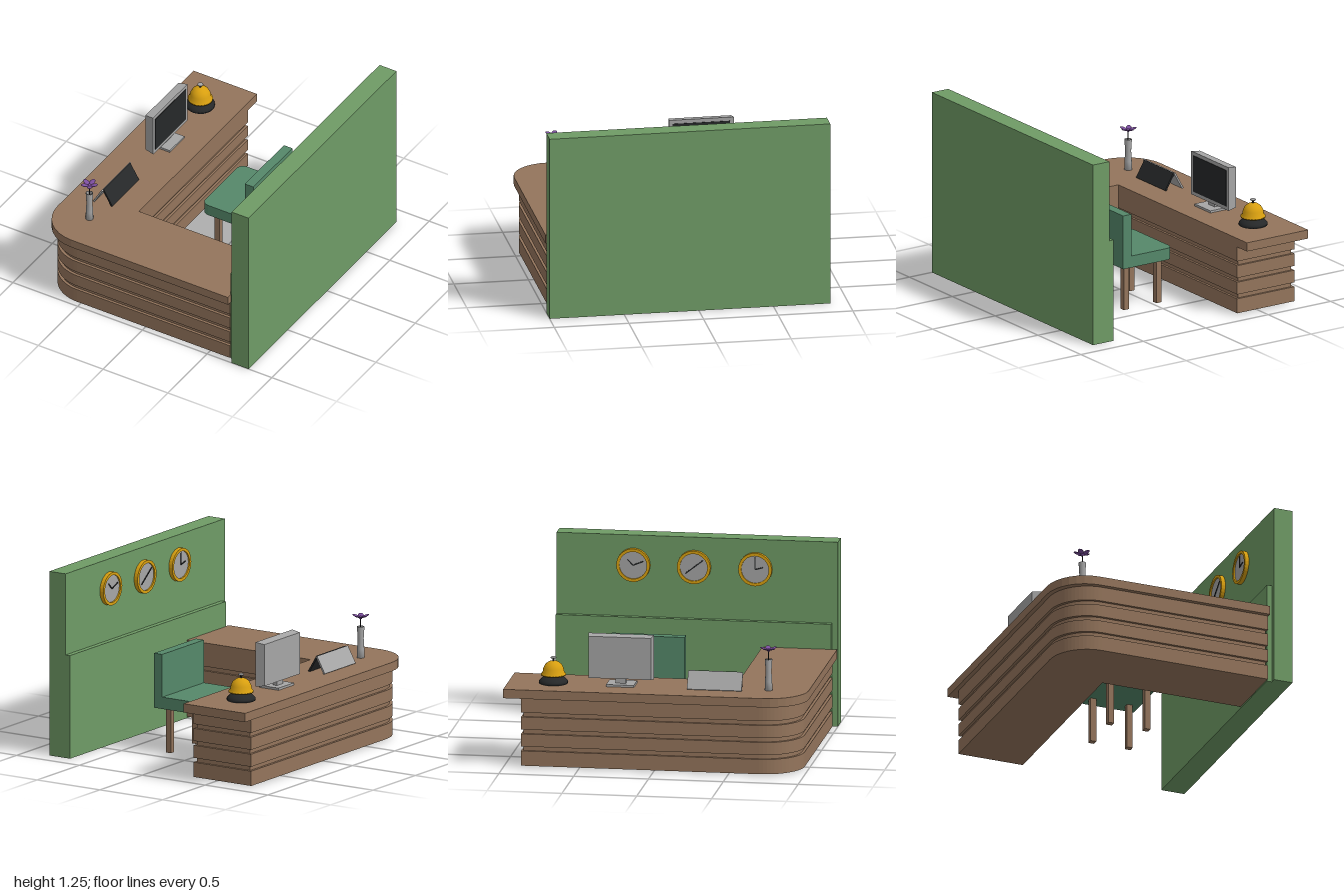
import * as THREE from 'three';

const material = (name, color, side = THREE.FrontSide) => {
  const m = new THREE.MeshStandardMaterial({ color, side });
  m.name = name;
  return m;
};

export function createModel() {
  const wood = material('wood', 0x94755c);
  const wallGreen = material('wall green', 0x6f9b66);
  const chairGreen = material('chair green', 0x55886a);
  const gold = material('gold', 0xd9a010, THREE.DoubleSide);
  const silver = material('silver', 0xa6a6a6);
  const black = material('black', 0x262829);
  const purple = material('purple', 0x7d4fa0);

  const model = new THREE.Group();
  model.name = 'receptionDesk';

  const add = (name, geometry, mat, parent = model) => {
    const mesh = new THREE.Mesh(geometry, mat);
    mesh.name = name;
    parent.add(mesh);
    return mesh;
  };
  const group = (name, x = 0, y = 0, z = 0) => {
    const g = new THREE.Group();
    g.name = name;
    g.position.set(x, y, z);
    model.add(g);
    return g;
  };
  // Box given by its limits on each axis
  const box = (name, [x0, x1], [y0, y1], [z0, z1], mat, parent) => {
    const mesh = add(name, new THREE.BoxGeometry(x1 - x0, y1 - y0, z1 - z0), mat, parent);
    mesh.position.set((x0 + x1) / 2, (y0 + y1) / 2, (z0 + z1) / 2);
    return mesh;
  };
  // Floor-plan shape (y of the shape is -z) raised from y0 to y1
  const slab = (name, shape, y0, y1, mat, parent, curveSegments = 4) => {
    const geo = new THREE.ExtrudeGeometry(shape, { depth: y1 - y0, bevelEnabled: false, curveSegments });
    geo.rotateX(-Math.PI / 2).translate(0, y0, 0);
    return add(name, geo, mat, parent);
  };
  const lathe = (name, points, mat, parent, sides = 24) =>
    add(name, new THREE.LatheGeometry(points.map(p => new THREE.Vector2(...p)), sides), mat, parent);

  // L-shaped counter plan with one rounded outer corner
  const counterPlan = (left, right, back, front, innerX, innerZ, r) => {
    const s = new THREE.Shape();
    s.moveTo(left, -back);
    s.lineTo(left, r - front);
    s.absarc(left + r, r - front, r, Math.PI, Math.PI * 1.5, false);
    s.lineTo(right, -front);
    s.lineTo(right, -innerZ);
    s.lineTo(innerX, -innerZ);
    s.lineTo(innerX, -back);
    s.closePath();
    return s;
  };

  // Counter: worktop, recessed core and four slats
  const counter = group('counter');
  slab('worktop', counterPlan(-0.82, 0.66, -1, 1, -0.33, 0.5, 0.27), 0.47, 0.53, wood, counter);
  slab('core', counterPlan(-0.772, 0.648, -0.87, 0.952, -0.347, 0.517, 0.25), 0.02, 0.47, wood, counter, 8);
  const slatPlan = counterPlan(-0.79, 0.657, -0.885, 0.97, -0.331, 0.501, 0.265);
  for (const [y0, y1] of [[0.01, 0.11], [0.14, 0.225], [0.255, 0.34], [0.37, 0.47]]) {
    slab('slat', slatPlan, y0, y1, wood, counter, 8);
  }

  // Side wall with thicker lower panel
  box('wall', [0.69, 0.82], [0, 1.25], [-0.88, 1], wallGreen);
  box('wallLowerPanel', [0.655, 0.69], [0, 0.7], [-0.88, 0.96], wallGreen);

  // Three wall clocks, each with two hands [clockwise degrees, length]
  const rim = new THREE.Shape().absarc(0, 0, 0.112, 0, Math.PI * 2, false);
  rim.holes.push(new THREE.Path().absarc(0, 0, 0.092, 0, Math.PI * 2, true));
  const clocks = [
    [-0.365, [-45, 0.055], [68, 0.075]],
    [0.04, [52, 0.08], [232, 0.07]],
    [0.45, [0, 0.08], [75, 0.055]],
  ];
  for (const [z, ...hands] of clocks) {
    const clock = group('clock', 0.69, 1.05, z);
    clock.rotation.y = -Math.PI / 2;
    add('clockRim', new THREE.ExtrudeGeometry(rim, { depth: 0.028, bevelEnabled: false, curveSegments: 16 }), gold, clock);
    add('clockFace', new THREE.CircleGeometry(0.094, 32), silver, clock).position.z = 0.018;
    for (const [angle, length] of hands) {
      const geo = new THREE.BoxGeometry(0.008, length, 0.004).translate(0, length / 2, 0);
      const hand = add('clockHand', geo, black, clock);
      hand.position.z = 0.022;
      hand.rotation.z = -angle * Math.PI / 180;
    }
  }

  // Chair: rounded seat, backrest and four legs
  const chair = group('chair');
  const seat = new THREE.Shape();
  seat.moveTo(0.28, -0.05);
  seat.lineTo(0.28, 0.445);
  seat.lineTo(-0.07, 0.445);
  seat.absarc(-0.07, 0.395, 0.05, Math.PI / 2, Math.PI, false);
  seat.lineTo(-0.12, 0);
  seat.absarc(-0.07, 0, 0.05, Math.PI, Math.PI * 1.5, false);
  seat.closePath();
  slab('seat', seat, 0.31, 0.39, chairGreen, chair);
  box('backrest', [0.215, 0.28], [0.39, 0.68], [-0.445, 0.05], chairGreen, chair);
  for (const x of [-0.05, 0.21]) {
    for (const z of [-0.36, -0.05]) {
      box('chairLeg', [x - 0.02, x + 0.02], [0, 0.31], [z - 0.02, z + 0.02], wood, chair);
    }
  }

  // Monitor on a stand, its back edge chamfered, screen facing the chair
  const monitor = group('monitor');
  box('standBase', [-0.64, -0.49], [0.53, 0.545], [-0.34, -0.155], silver, monitor);
  box('standNeck', [-0.59, -0.56], [0.545, 0.6], [-0.285, -0.215], silver, monitor);
  const housing = new THREE.BoxGeometry(0.065, 0.3, 0.435);
  const p = housing.attributes.position;
  for (let i = 0; i < p.count; i++) {
    if (p.getX(i) < 0) p.setXYZ(i, p.getX(i), p.getY(i) * 0.94, p.getZ(i) * 0.96);
  }
  housing.computeVertexNormals();
  add('housing', housing, silver, monitor).position.set(-0.578, 0.72, -0.253);
  box('screen', [-0.547, -0.542], [0.595, 0.845], [-0.445, -0.06], black, monitor);

  // Desk bell
  const bell = group('bell', -0.585, 0.53, -0.7);
  lathe('bellBase', [[0, 0], [0.095, 0], [0.095, 0.016], [0.085, 0.026], [0.06, 0.055], [0, 0.055]], black, bell);
  lathe('bellDome', [[0, 0.055], [0.083, 0.055], [0.083, 0.064], [0.073, 0.072], [0.068, 0.1],
    [0.054, 0.128], [0.03, 0.146], [0, 0.152]], gold, bell);
  add('bellStem', new THREE.CylinderGeometry(0.006, 0.006, 0.025, 8), black, bell).position.y = 0.16;
  const knob = add('bellButton', new THREE.SphereGeometry(0.02, 16, 8), silver, bell);
  knob.scale.y = 0.4;
  knob.position.y = 0.173;

  // Folded desk sign: two thin leaning plates
  const sign = group('deskSign');
  const leaningPlate = (name, foot, width, z, mat) => {
    const apex = -0.577, height = 0.112, thickness = 0.012;
    const lean = Math.atan2(foot - apex, height);
    const plate = add(name, new THREE.BoxGeometry(thickness, Math.hypot(foot - apex, height), width), mat, sign);
    plate.position.set((foot + apex) / 2, 0.53 + height / 2 + 0.002, z);
    plate.rotation.z = lean;
  };
  leaningPlate('signPlate', -0.64, 0.365, 0.383, silver);
  leaningPlate('signSupport', -0.51, 0.34, 0.38, black);

  // Vase with a five-petalled flower
  const vase = group('vase', -0.57, 0.53, 0.735);
  lathe('vaseBody', [[0, 0], [0.026, 0], [0.024, 0.06], [0.02, 0.13], [0.025, 0.21], [0.019, 0.21],
    [0.015, 0.13], [0, 0.12]], silver, vase, 12);
  add('stem', new THREE.CylinderGeometry(0.003, 0.003, 0.16, 6), black, vase).position.y = 0.195;
  add('flowerCentre', new THREE.SphereGeometry(0.012, 10, 8), purple, vase).position.y = 0.272;
  for (let i = 0; i < 5; i++) {
    const petal = new THREE.SphereGeometry(1, 10, 8).scale(0.026, 0.005, 0.019);
    petal.rotateZ(0.3).translate(0.033, 0.281, 0).rotateY(i * Math.PI * 0.4 + 0.25);
    add('petal', petal, purple, vase);
  }

  return model;
}
